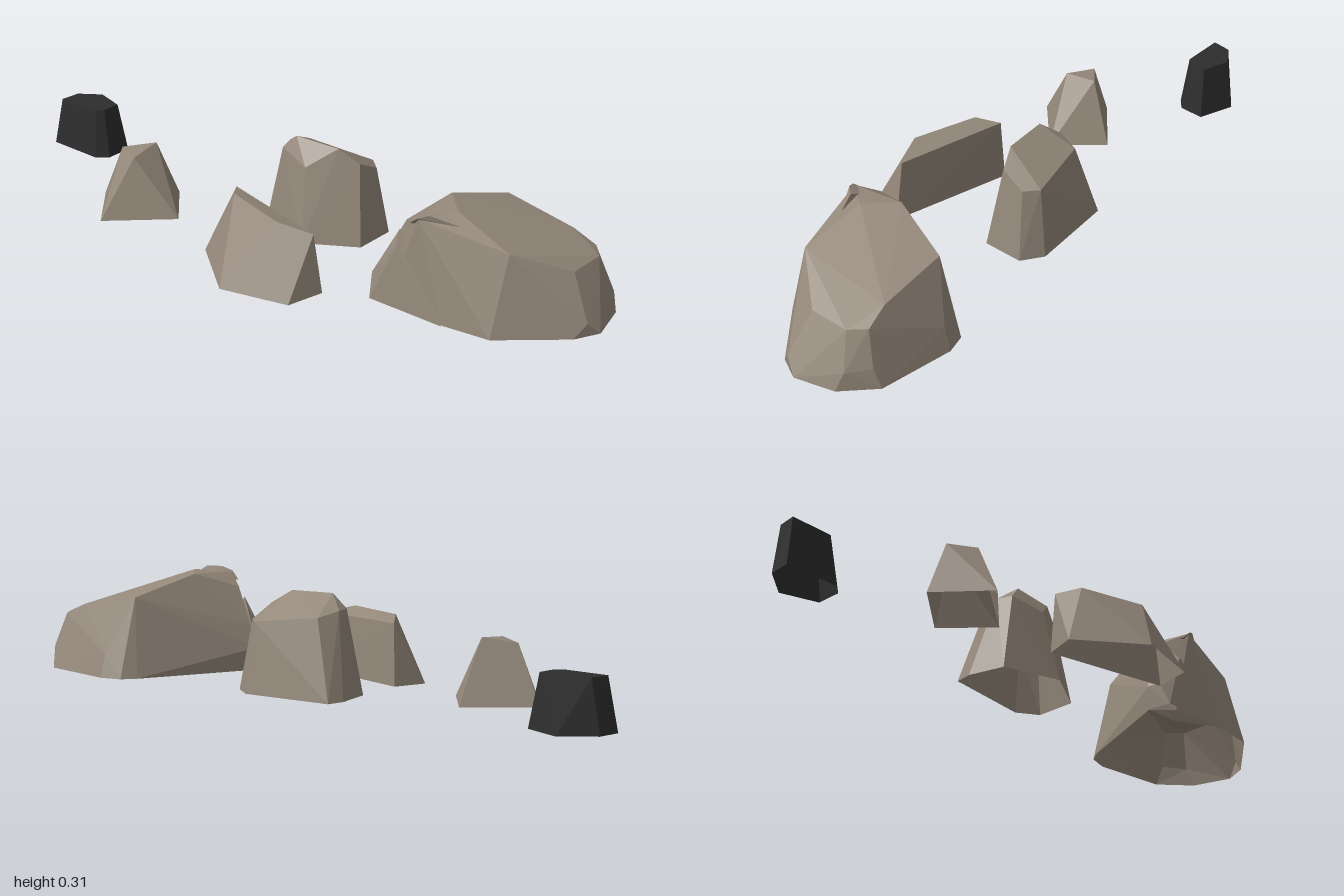
import * as THREE from 'three';
import { ConvexGeometry } from 'three/addons/geometries/ConvexGeometry.js';

const stone = new THREE.MeshStandardMaterial({ color: 0x94887a, side: THREE.DoubleSide });
stone.name = 'warm grey stone';
const coal = new THREE.MeshStandardMaterial({ color: 0x2d2d2d, side: THREE.DoubleSide });
coal.name = 'black stone';

// Faceted boulder: a hull over a ground outline [x, z] and upper corners [x, y, z], left open underneath
function rock(name, material, base, upper) {
  const points = [
    ...base.map(([x, z]) => new THREE.Vector3(x, 0, z)),
    ...upper.map((p) => new THREE.Vector3(...p)),
  ];
  const hull = new ConvexGeometry(points).getAttribute('position');
  const kept = [];
  for (let i = 0; i < hull.count; i += 3) {
    const onGround = [0, 1, 2].every((k) => hull.getY(i + k) < 1e-4);
    if (onGround) continue;
    for (let k = 0; k < 3; k++) kept.push(hull.getX(i + k), hull.getY(i + k), hull.getZ(i + k));
  }
  const geometry = new THREE.BufferGeometry();
  geometry.setAttribute('position', new THREE.Float32BufferAttribute(kept, 3));
  geometry.computeVertexNormals();
  const mesh = new THREE.Mesh(geometry, material);
  mesh.name = name;
  return mesh;
}

export function createModel() {
  const group = new THREE.Group();
  group.name = 'rocks';

  // Small black block
  group.add(rock('blackRock', coal,
    [[-1, -0.02], [-0.99, -0.09], [-0.9, -0.165], [-0.785, -0.13], [-0.79, -0.05], [-0.825, -0.02]],
    [[-0.975, 0.155, -0.035], [-0.965, 0.155, -0.095], [-0.9, 0.155, -0.14],
      [-0.81, 0.155, -0.115], [-0.815, 0.155, -0.06], [-0.835, 0.155, -0.04]]));

  // Small pointed rock with a slanted three-cornered top
  group.add(rock('pointedRock', stone,
    [[-0.635, 0.13], [-0.46, -0.015], [-0.342, 0.12], [-0.515, 0.278]],
    [[-0.56, 0.177, 0.125], [-0.475, 0.182, 0.165], [-0.48, 0.192, 0.06]]));

  // Wedge with a steep back
  group.add(rock('wedgeRock', stone,
    [[-0.155, 0.21], [-0.12, 0.11], [0.27, 0.19], [0.24, 0.305], [0.03, 0.358]],
    [[-0.11, 0.187, 0.118], [-0.065, 0.203, 0.18], [0.14, 0.203, 0.235], [0.24, 0.18, 0.193]]));

  // Tall boulder, highest near its front and falling away to the back
  group.add(rock('tallRock', stone,
    [[-0.165, -0.17], [-0.155, -0.225], [0.13, -0.262], [0.195, -0.22],
      [0.19, -0.09], [0.04, 0], [-0.14, -0.055]],
    [[-0.05, 0.293, -0.085], [0.095, 0.29, -0.1], [-0.105, 0.25, -0.12], [-0.09, 0.25, -0.07],
      [-0.085, 0.235, -0.19], [0.155, 0.25, -0.125], [0.12, 0.21, -0.235], [0.16, 0.21, -0.2],
      [0.015, 0.225, -0.045]]));

  // Large boulder: sloping body, a slab leaning on its front corner, and a low crest
  const large = new THREE.Group();
  large.name = 'largeRock';
  large.add(rock('body', stone,
    [[0.385, 0.05], [0.44, 0.11], [0.64, 0.12], [0.785, 0.1], [0.96, -0.05], [1, -0.125],
      [0.97, -0.25], [0.88, -0.335], [0.64, -0.36], [0.575, -0.34], [0.545, -0.3]],
    [[0.378, 0.07, 0.05], [0.402, 0.14, 0.045],
      [0.465, 0.25, 0.06], [0.53, 0.288, 0.095], [0.6, 0.298, 0.005], [0.52, 0.298, -0.075],
      [0.79, 0.24, 0.03], [0.91, 0.167, -0.115], [0.91, 0.163, -0.24], [0.87, 0.165, -0.285],
      [0.8, 0.2, -0.275], [0.58, 0.24, -0.27], [0.98, 0.04, -0.085],
      [0.95, 0.055, -0.265], [0.89, 0.06, -0.315], [0.64, 0.07, -0.34]]));
  large.add(rock('frontSlab', stone,
    [[0.383, 0.05], [0.39, 0.127], [0.64, 0.125], [0.5, 0.05]],
    [[0.373, 0.07, 0.055], [0.378, 0.07, 0.1], [0.402, 0.14, 0.05], [0.465, 0.18, 0.11],
      [0.45, 0.22, 0.07]]));
  large.add(rock('crest', stone, [],
    [[0.5, 0.265, 0.095], [0.53, 0.29, 0.1], [0.56, 0.303, 0.085], [0.59, 0.306, 0.05],
      [0.5, 0.265, 0.04], [0.64, 0.275, 0.04]]));
  group.add(large);

  return group;
}
